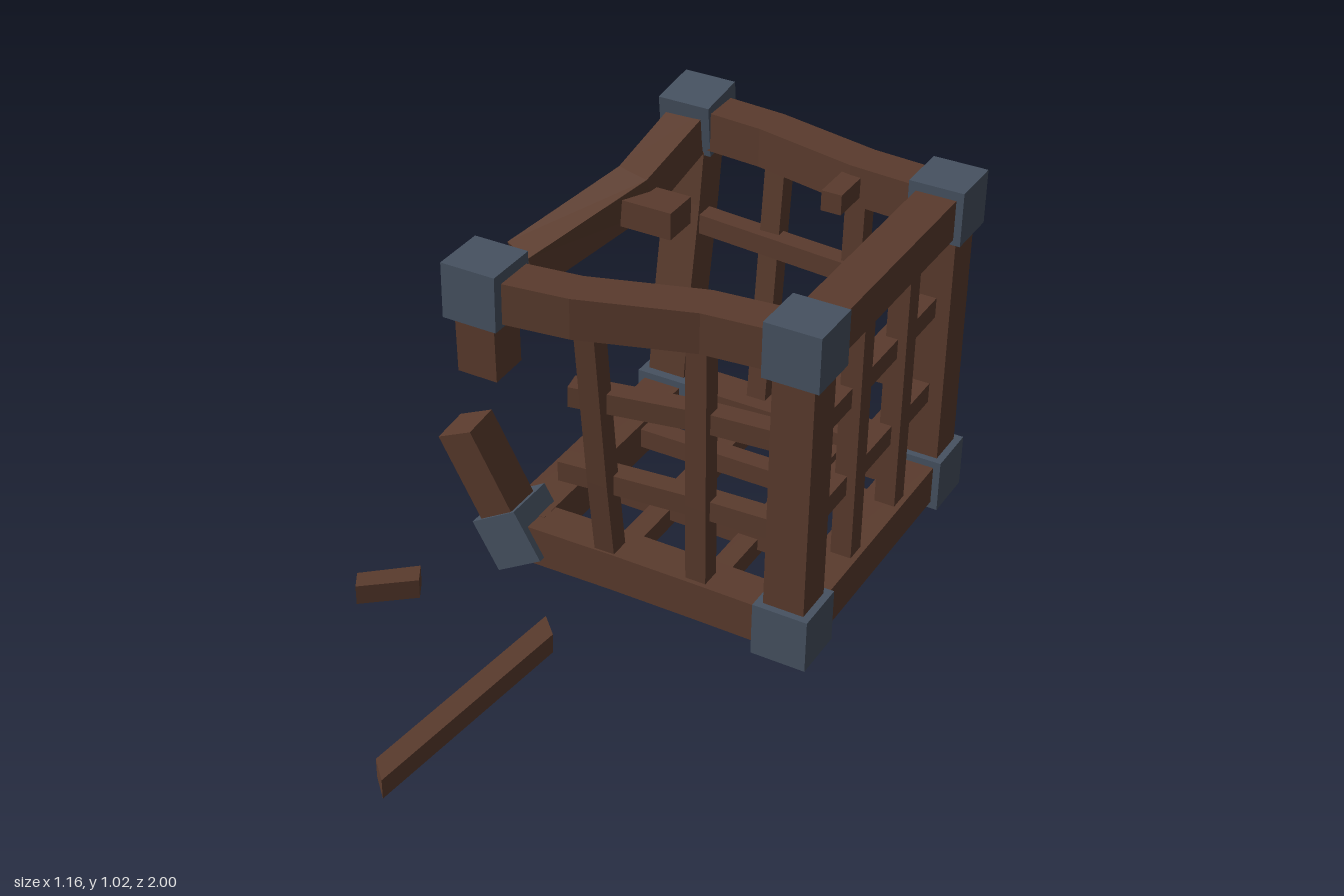
import * as THREE from 'three';

const wood = new THREE.MeshStandardMaterial({ color: 0x5a3b2d, flatShading: true });
wood.name = 'dark wood';
const iron = new THREE.MeshStandardMaterial({ color: 0x465160, flatShading: true });
iron.name = 'slate iron';

// Square timber swept along a bent path of [x, y, z] points
function beam(name, points, w = 0.113, up = [0, 1, 0], h = w) {
  const p = points.map(q => new THREE.Vector3(...q));
  const pos = [], idx = [], last = p.length - 1;
  p.forEach((c, i) => {
    const t = p[Math.min(i + 1, last)].clone().sub(p[Math.max(i - 1, 0)]).normalize();
    const s = new THREE.Vector3(...up).cross(t).normalize();
    const u = t.clone().cross(s);
    for (const [a, b] of [[-1, -1], [1, -1], [1, 1], [-1, 1]]) {
      const v = c.clone().addScaledVector(s, a * w / 2).addScaledVector(u, b * h / 2);
      pos.push(v.x, v.y, v.z);
    }
    if (i === 0) return;
    for (let k = 0; k < 4; k++) {
      const a = (i - 1) * 4 + k, b = (i - 1) * 4 + (k + 1) % 4;
      idx.push(a, b, b + 4, a, b + 4, a + 4);
    }
  });
  const e = last * 4;
  idx.push(0, 2, 1, 0, 3, 2, e, e + 1, e + 2, e, e + 2, e + 3);
  let g = new THREE.BufferGeometry();
  g.setAttribute('position', new THREE.Float32BufferAttribute(pos, 3));
  g.setIndex(idx);
  g = g.toNonIndexed();
  g.computeVertexNormals();
  const m = new THREE.Mesh(g, wood);
  m.name = name;
  return m;
}

// Corner block
function corner(name, x, y, z, rx = 0, rz = 0) {
  const m = new THREE.Mesh(new THREE.BoxGeometry(0.153, 0.153, 0.153), iron);
  m.position.set(x, y, z);
  m.rotation.set(rx, 0, rz);
  m.name = name;
  return m;
}

// Broken bar lying on the ground, from its outline in x and z
function debris(name, outline) {
  const shape = new THREE.Shape(outline.map(([x, z]) => new THREE.Vector2(x, -z)));
  const g = new THREE.ExtrudeGeometry(shape, { depth: 0.057, bevelEnabled: false });
  g.rotateX(-Math.PI / 2);
  g.translate(0, 0.034, 0);
  const m = new THREE.Mesh(g, wood);
  m.name = name;
  return m;
}

export function createModel() {
  const root = new THREE.Group();
  root.name = 'brokenCage';
  const L = -0.29, R = 0.502, F = 0, B = -0.805, lo = 0.108, hi = 0.935;
  const Z = [0, 0, 1];

  // Iron corners, three of them knocked out of place
  root.add(
    corner('cornerFrontLowLeft', R, lo, F), corner('cornerFrontTopLeft', R, hi, F),
    corner('cornerBackLowLeft', R, lo, B), corner('cornerBackTopLeft', R, hi, B),
    corner('cornerBackLowRight', L, lo, B),
    corner('cornerBackTopRight', L, 0.94, -0.917, 0.12),
    corner('cornerFrontTopRight', L, 0.94, 0.155),
    corner('cornerFrontLowRight', -0.306, lo, F, 0, 0.54)
  );

  // Posts
  root.add(
    beam('postFrontLeft', [[R, lo, F], [R, hi, F]], 0.113, Z),
    beam('postBackLeft', [[R, lo, B], [R, hi, B]], 0.113, Z),
    beam('postBackRight', [[L, lo, B], [L, 0.4, -0.835], [L, 0.7, -0.885], [L, hi, -0.915]], 0.113, Z),
    beam('brokenPostTop', [[L, 0.94, 0.155], [L, 0.703, 0.147]], 0.113, Z),
    beam('brokenPostBottom', [[-0.306, lo, 0.01], [-0.45, 0.412, 0.035]], 0.11, Z)
  );

  // Rails
  root.add(
    beam('railFrontLow', [[L, 0.106, F], [0, 0.111, F], [0.25, 0.111, F], [R, 0.109, F]]),
    beam('railBackLow', [[L, lo, B], [R, lo, B]]),
    beam('railLeftLow', [[R, lo, B], [R, lo, F]]),
    beam('railRightLow', [[L, lo, B], [L, lo, F]]),
    beam('railLeftTop', [[R, 0.93, B], [R, 0.93, F]]),
    beam('railFrontTop', [[L, 0.93, 0.155], [-0.05, 0.93, 0.124], [0.25, 0.93, 0.025], [R, 0.93, 0]]),
    beam('railBackTop', [[L, 0.93, -0.91], [-0.05, 0.93, -0.89], [0.25, 0.93, -0.825], [R, 0.93, B]]),
    beam('brokenRailRightTop', [[-0.285, 0.935, -0.92], [-0.31, 0.84, -0.62], [-0.475, 0.71, -0.305]], 0.108)
  );

  // Lattice bars; uprights sit slightly outside the crossbars
  const bar = 0.058, o = 0.012;
  const bars = new THREE.Group();
  bars.name = 'bars';
  root.add(bars);
  const uprights = [[-0.02, 0.11, -0.88], [0.245, 0.025, -0.825]];
  for (const [x, zf, zb] of uprights) {
    bars.add(
      beam('frontUpright', [[x, lo, F + o], [x, 0.4, zf * 0.4 + o], [x, 0.93, zf + o]], bar, Z),
      beam('backUpright', [[x, lo, B - o], [x, 0.4, B + (zb - B) * 0.35 - o], [x, 0.93, zb - o]], bar, Z),
      beam('floorBarLong', [[x, lo - o, B], [x, lo - o, F]], bar)
    );
  }
  for (const z of [-0.275, -0.54]) {
    bars.add(
      beam('sideUpright', [[R + o, lo, z], [R + o, 0.93, z]], bar, Z),
      beam('floorBarCross', [[L, lo + o, z], [R, lo + o, z]], bar)
    );
  }
  // Crossbars: height, broken front end x and z, back bend z
  for (const [y, x, zf, zb] of [[0.385, -0.15, 0.05, -0.832], [0.65, -0.097, 0.088, -0.877]]) {
    bars.add(
      beam('frontCrossbarBroken', [[x, y, zf - o], [0.245, y, zf * 0.25 - o], [R, y, F - o]], bar),
      beam('backCrossbar', [[L, y, zb + o], [R, y, B + o]], bar),
      beam('sideCrossbar', [[R - o, y, B], [R - o, y, F]], bar)
    );
  }

  // Snapped roof bar stubs
  root.add(
    beam('roofStubBack', [[0.245, 0.93, -0.82], [0.245, 0.93, -0.655]], bar),
    beam('roofStubRight', [[-0.31, 0.812, -0.575], [-0.152, 0.812, -0.575]], 0.11, [0, 1, 0], 0.08)
  );

  // Loose pieces on the ground
  root.add(
    debris('looseBarLong', [[-0.06, 0.275], [-0.12, 0.94], [-0.065, 0.995], [-0.005, 0.33]]),
    debris('looseBarShort', [[-0.58, 0.37], [-0.55, 0.42], [-0.423, 0.315], [-0.455, 0.26]])
  );
  return root;
}
